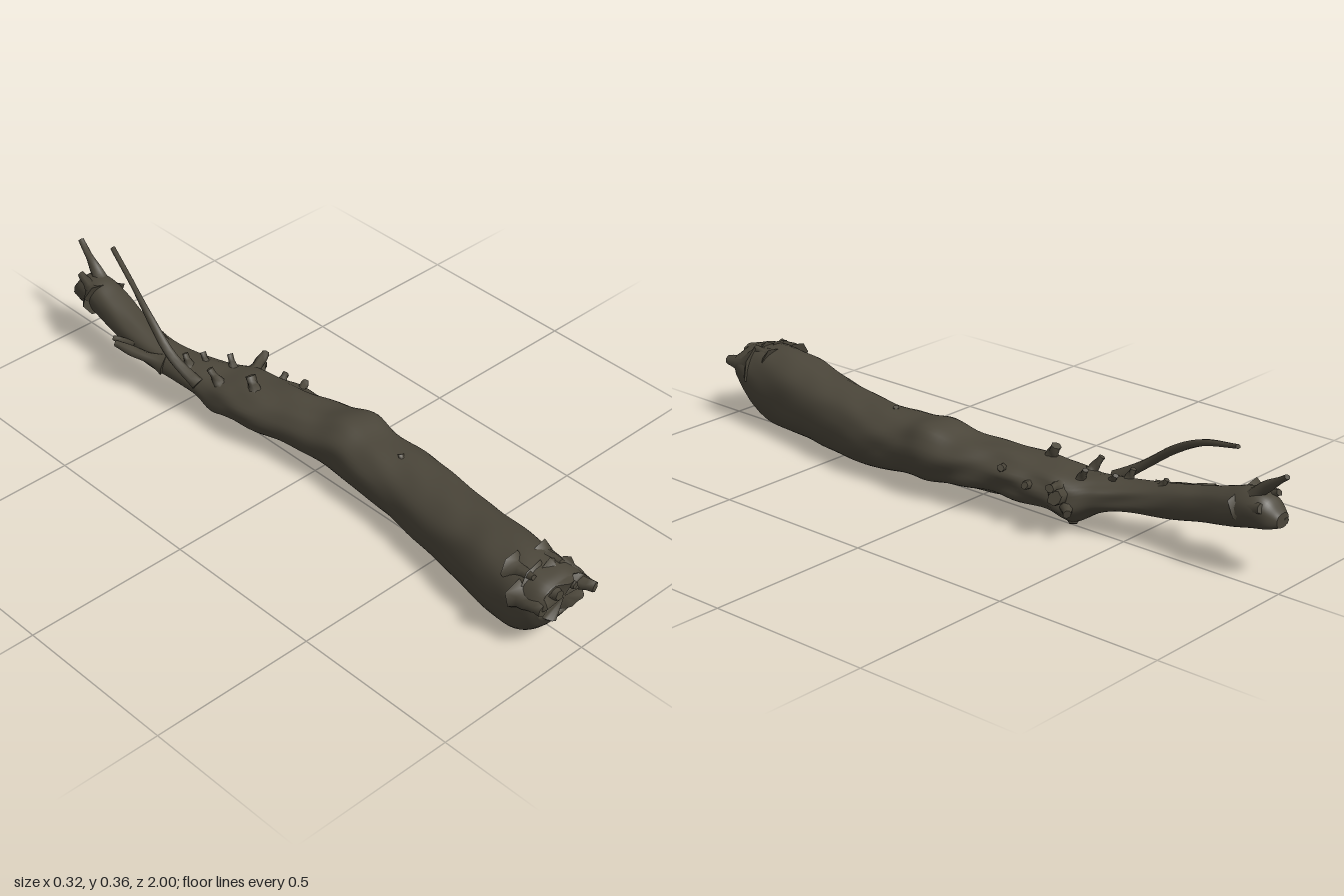
import * as THREE from 'three';

const bark = new THREE.MeshStandardMaterial({ color: 0x4b463a });
bark.name = 'dark bark';

// Skin a closed tube through n + 1 rings of m points, with crisp end caps
function loft(name, n, m, point) {
  const pos = [], index = [];
  const rings = [];
  for (let i = 0; i <= n; i++) {
    const ring = [];
    for (let j = 0; j < m; j++) ring.push(point(i / n, (j / m) * Math.PI * 2, i));
    rings.push(ring);
    ring.forEach((p) => pos.push(p.x, p.y, p.z));
  }
  for (let i = 0; i < n; i++) {
    for (let j = 0; j < m; j++) {
      const a = i * m + j, b = i * m + ((j + 1) % m);
      index.push(a, b, a + m, b, b + m, a + m);
    }
  }
  for (const end of [0, n]) {
    const base = pos.length / 3, centre = new THREE.Vector3();
    rings[end].forEach((p) => { pos.push(p.x, p.y, p.z); centre.addScaledVector(p, 1 / m); });
    pos.push(centre.x, centre.y, centre.z);
    for (let j = 0; j < m; j++) {
      const a = base + j, b = base + ((j + 1) % m);
      if (end) index.push(base + m, a, b);
      else index.push(base + m, b, a);
    }
  }
  const g = new THREE.BufferGeometry();
  g.setAttribute('position', new THREE.Float32BufferAttribute(pos, 3));
  g.setIndex(index);
  g.computeVertexNormals();
  const mesh = new THREE.Mesh(g, bark);
  mesh.name = name;
  return mesh;
}

// Trunk outline: z, left x, right x, bottom y, top y
const stations = [
  [-0.965, -0.082, -0.03, 0.165, 0.205],
  [-0.93, -0.095, -0.005, 0.155, 0.245],
  [-0.87, -0.1, 0.003, 0.145, 0.255],
  [-0.8, -0.105, 0, 0.13, 0.235],
  [-0.7, -0.11, -0.01, 0.11, 0.205],
  [-0.6, -0.11, -0.01, 0.09, 0.185],
  [-0.5, -0.1, 0.012, 0.085, 0.17],
  [-0.42, -0.092, 0.05, 0.07, 0.168],
  [-0.36, -0.09, 0.09, 0.04, 0.168],
  [-0.29, -0.09, 0.102, 0.055, 0.18],
  [-0.2, -0.085, 0.115, 0.06, 0.186],
  [-0.1, -0.06, 0.122, 0.06, 0.193],
  [0, -0.048, 0.142, 0.058, 0.198],
  [0.1, -0.042, 0.157, 0.048, 0.222],
  [0.2, -0.045, 0.148, 0.038, 0.208],
  [0.33, -0.05, 0.153, 0.027, 0.205],
  [0.45, -0.068, 0.135, 0.02, 0.21],
  [0.6, -0.095, 0.108, 0.018, 0.222],
  [0.72, -0.122, 0.088, 0.012, 0.24],
  [0.82, -0.133, 0.073, 0.01, 0.246],
  [0.88, -0.134, 0.064, 0.032, 0.243],
  [0.925, -0.132, 0.058, 0.075, 0.238],
  [0.957, -0.122, 0.052, 0.125, 0.228],
];

function trunk() {
  const curve = (f) => new THREE.CatmullRomCurve3(stations.map(f), false, 'catmullrom');
  const mid = curve(([z, l, r, b, t]) => new THREE.Vector3((l + r) / 2, (b + t) / 2, z));
  const half = curve(([z, l, r, b, t]) => new THREE.Vector3((r - l) / 2, (t - b) / 2, z));
  const power = (v) => Math.sign(v) * Math.abs(v) ** 0.88;
  return loft('trunk', 154, 40, (t, a) => {
    const c = mid.getPoint(t), h = half.getPoint(t), z = c.z;
    // Long twisting bark ridges, rougher toward the knotty right side and middle
    const rough = 0.012 + 0.022 * Math.exp(-((z + 0.2) ** 2) / 0.16) * (1 + 0.6 * Math.cos(a));
    const k = 1 + rough * (Math.sin(3 * a + 9 * z) * Math.sin(17 * z + 2 * a)
      + 0.7 * Math.sin(7 * a - 6 * z + 2 * Math.sin(11 * z))
      + 0.6 * Math.sin(41 * z + 3 * Math.sin(2 * a)));
    const broken = t > 0.999 ? 0.012 * Math.sin(5 * a) + 0.007 * Math.sin(9 * a + 1) : 0;
    return new THREE.Vector3(c.x + h.x * k * power(Math.cos(a)),
      c.y + h.y * k * power(Math.sin(a)), z + broken);
  });
}

// Tapering, slightly lumpy twig through a few points
function twig(name, points, r0, r1, sides = 8) {
  const curve = new THREE.CatmullRomCurve3(points.map((p) => new THREE.Vector3(...p)));
  const n = points.length > 2 ? 20 : 5;
  const frames = curve.computeFrenetFrames(n);
  return loft(name, n, sides, (t, a, i) => {
    const flare = 1 + 0.6 * (1 - t) ** 6;
    const r = (r0 + (r1 - r0) * t) * flare * (1 + 0.12 * Math.sin(2 * a + 9 * t));
    return curve.getPointAt(t)
      .addScaledVector(frames.normals[i], r * Math.cos(a))
      .addScaledVector(frames.binormals[i], r * Math.sin(a));
  });
}

export function createModel() {
  const log = new THREE.Group();
  log.name = 'brokenBranch';
  log.add(trunk());

  log.add(twig('longTwig', [[-0.085, 0.14, -0.4], [-0.103, 0.2, -0.49], [-0.093, 0.27, -0.59],
    [-0.066, 0.325, -0.7], [-0.022, 0.364, -0.842]], 0.014, 0.007));
  log.add(twig('endTwig', [[-0.04, 0.225, -0.87], [-0.036, 0.265, -0.915],
    [-0.022, 0.322, -0.995]], 0.02, 0.008));
  log.add(twig('sideTwig', [[-0.09, 0.14, -0.54], [-0.125, 0.155, -0.61],
    [-0.152, 0.168, -0.685]], 0.02, 0.011));

  // Short broken stubs: base, tip, base radius, tip radius
  const stubs = [
    [[-0.1, 0.15, -0.66], [-0.133, 0.16, -0.72], 0.014, 0.008],
    [[-0.02, 0.16, -0.22], [-0.016, 0.215, -0.25], 0.019, 0.014],
    [[-0.05, 0.15, -0.34], [-0.065, 0.2, -0.37], 0.015, 0.009],
    [[0.02, 0.15, -0.36], [0.03, 0.195, -0.39], 0.014, 0.008],
    [[-0.06, 0.15, -0.46], [-0.062, 0.195, -0.48], 0.015, 0.008],
    [[-0.02, 0.15, -0.43], [-0.012, 0.185, -0.46], 0.012, 0.008],
    [[0.04, 0.12, -0.32], [0.125, 0.135, -0.362], 0.034, 0.02],
    [[0.06, 0.14, -0.33], [0.137, 0.165, -0.355], 0.017, 0.012],
    [[0.05, 0.1, -0.34], [0.105, 0.09, -0.39], 0.024, 0.012],
    [[0.08, 0.13, -0.24], [0.128, 0.145, -0.26], 0.016, 0.01],
    [[0.08, 0.15, -0.15], [0.122, 0.17, -0.17], 0.015, 0.01],
    [[0.02, 0.07, -0.34], [0.035, 0.032, -0.355], 0.03, 0.012],
    [[-0.05, 0.17, -0.58], [-0.05, 0.2, -0.6], 0.012, 0.007],
    [[0.04, 0.19, 0.3], [0.045, 0.21, 0.29], 0.012, 0.008],
  ];
  stubs.forEach(([a, b, r0, r1]) => log.add(twig('brokenStub', [a, b], r0, r1, 7)));

  // Jagged splinters around both broken ends
  const splinters = [
    [[0.02, 0.185, 0.9], [0.04, 0.187, 0.995], 0.036, 0.014],
    [[-0.02, 0.21, 0.89], [-0.015, 0.212, 0.975], 0.028, 0.01],
    [[-0.07, 0.2, 0.88], [-0.065, 0.205, 0.968], 0.034, 0.016],
    [[-0.11, 0.175, 0.87], [-0.119, 0.18, 0.962], 0.03, 0.016],
    [[0.005, 0.215, 0.84], [0.005, 0.236, 0.91], 0.026, 0.01],
    [[-0.08, 0.215, 0.82], [-0.09, 0.236, 0.9], 0.026, 0.008],
    [[-0.03, 0.2, -0.86], [-0.008, 0.222, -0.93], 0.03, 0.013],
    [[-0.075, 0.19, -0.87], [-0.072, 0.178, -0.965], 0.03, 0.011],
    [[-0.08, 0.22, -0.86], [-0.072, 0.25, -0.94], 0.026, 0.01],
  ];
  splinters.forEach(([a, b, r0, r1]) => log.add(twig('splinter', [a, b], r0, r1, 6)));
  return log;
}
